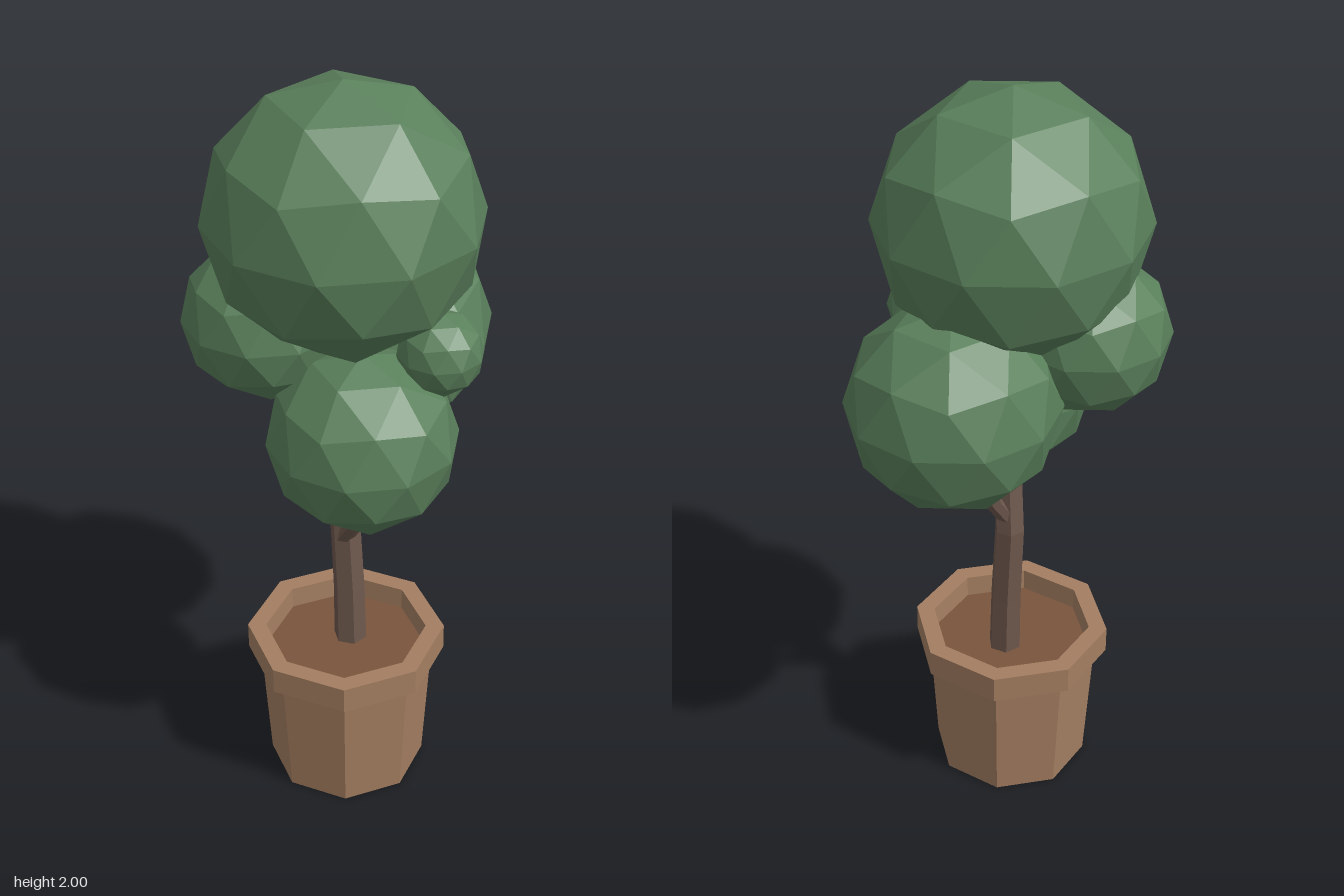
import * as THREE from 'three';

export function createModel() {
  const model = new THREE.Group();
  model.name = 'pottedTree';

  const flat = (name, color) => new THREE.MeshStandardMaterial({ name, color, flatShading: true });
  const leafGreen = flat('leafGreen', 0x5a805b);
  const barkBrown = flat('barkBrown', 0x6e584d);
  const clay = flat('clay', 0xa47e61);
  const soilBrown = flat('soilBrown', 0x7a543d);

  function add(name, geometry, material, parent = model) {
    const mesh = new THREE.Mesh(geometry, material);
    mesh.name = name;
    parent.add(mesh);
    return mesh;
  }

  // Eight-sided pot with a thick rim and sunken soil
  const pot = new THREE.Group();
  pot.name = 'pot';
  pot.position.set(-0.003, 0, 0.086);
  model.add(pot);
  const turned = (points) =>
    new THREE.LatheGeometry(points.map(([r, y]) => new THREE.Vector2(r, y)), 8);
  add('potBody', turned([[0, 0], [0.21, 0], [0.232, 0.366]]), clay, pot);
  add('potRim', turned([[0.22, 0.366], [0.264, 0.366], [0.264, 0.44], [0.215, 0.44], [0.212, 0.36]]), clay, pot);
  const soil = add('soil', new THREE.CircleGeometry(0.215, 8).rotateX(-Math.PI / 2).rotateY(Math.PI / 8 * 2), soilBrown, pot);
  soil.position.y = 0.38;

  // Limb: a six-sided cylinder whose rings follow [x, y, z, radius] stations
  function limb(name, stations) {
    const rows = stations.length - 1;
    const g = new THREE.CylinderGeometry(1, 1, 1, 6, rows, true);
    const p = g.attributes.position;
    for (let i = 0; i < p.count; i++) {
      const [x, y, z, r] = stations[Math.round((p.getY(i) + 0.5) * rows)];
      p.setXYZ(i, x + p.getX(i) * r, y, z + p.getZ(i) * r);
    }
    g.computeVertexNormals();
    add(name, g, barkBrown);
  }
  limb('trunk', [
    [-0.02, 0.37, 0.053, 0.045], [-0.024, 0.55, 0.053, 0.043], [-0.036, 0.78, 0.055, 0.041],
    [-0.018, 0.97, 0.06, 0.039], [-0.012, 1.4, 0.07, 0.033],
  ]);
  limb('frontBranch', [
    [-0.03, 0.71, 0.065, 0.026], [0.035, 0.8, 0.085, 0.026], [0.075, 0.91, 0.108, 0.023], [0.11, 1.05, 0.13, 0.02],
  ]);
  limb('backBranch', [
    [-0.035, 0.81, 0.05, 0.026], [-0.045, 0.89, -0.005, 0.026], [-0.06, 0.98, -0.05, 0.024], [-0.075, 1.12, -0.1, 0.02],
  ]);

  // Faceted leaf balls with a vertex pointing straight up: x, y, z, radius
  const balls = {
    crownFoliage: [-0.012, 1.658, 0.071, 0.342],
    frontRightFoliage: [-0.157, 1.385, 0.202, 0.204],
    frontLeftFoliage: [0.12, 1.133, 0.14, 0.238],
    backFoliage: [-0.082, 1.26, -0.148, 0.268],
    smallFoliage: [0.223, 1.353, -0.018, 0.107],
  };
  const tilt = -Math.atan(2 / (1 + Math.sqrt(5)));
  for (const [name, [x, y, z, r]] of Object.entries(balls)) {
    add(name, new THREE.IcosahedronGeometry(r, 1).rotateZ(tilt), leafGreen).position.set(x, y, z);
  }

  return model;
}
